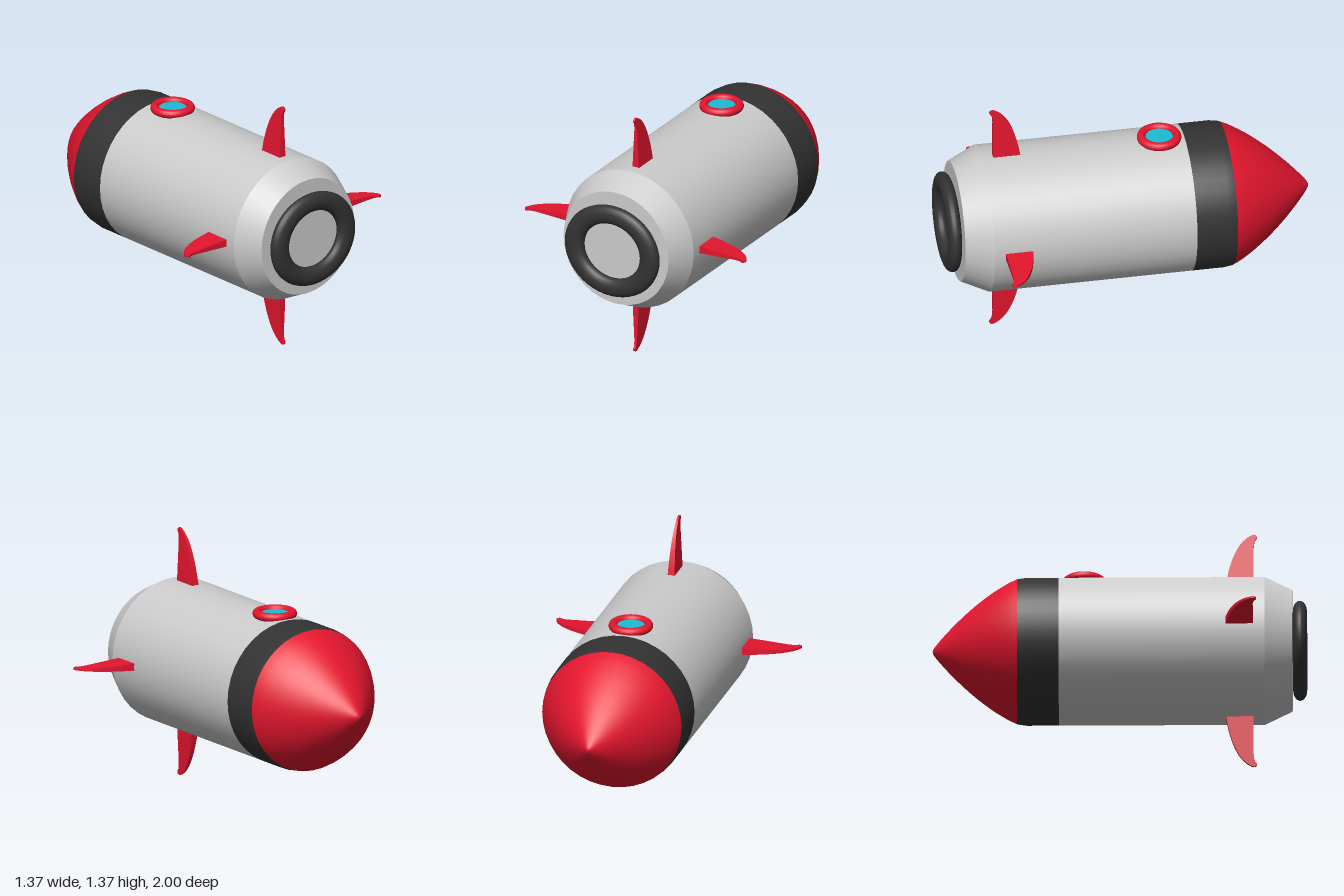
import * as THREE from 'three';

const AXIS_Y = 0.683, R = 0.395;
const mat = (color, extra = {}) => new THREE.MeshStandardMaterial({ color, ...extra });

// Surface of revolution about the z axis; points are [radius, z] with z rising
function turned(points, segments = 40) {
  const g = new THREE.LatheGeometry(points.map(([r, z]) => new THREE.Vector2(r, z)), segments);
  return g.rotateX(Math.PI / 2);
}

// Curved blade that thins from root to tip
function finGeometry() {
  const s = new THREE.Shape();
  s.moveTo(0.568, 0.37);
  s.lineTo(0.568, 0.395);
  s.bezierCurveTo(0.585, 0.5, 0.62, 0.64, 0.705, 0.68);
  s.bezierCurveTo(0.725, 0.69, 0.738, 0.672, 0.732, 0.663);
  s.quadraticCurveTo(0.715, 0.65, 0.715, 0.6);
  s.lineTo(0.715, 0.37);
  s.closePath();
  const g = new THREE.ExtrudeGeometry(s, { depth: 1, bevelEnabled: false, curveSegments: 10 });
  g.translate(0, 0, -0.5).rotateY(-Math.PI / 2);
  const p = g.attributes.position;
  for (let i = 0; i < p.count; i++) {
    const t = (p.getY(i) - 0.37) / 0.313;
    p.setX(i, p.getX(i) * THREE.MathUtils.lerp(0.042, 0.01, t));
  }
  g.computeVertexNormals();
  return g;
}

export function createModel() {
  const model = new THREE.Group();
  const rocket = new THREE.Group();
  rocket.name = 'rocket';
  rocket.position.y = AXIS_Y;
  model.add(rocket);

  const red = mat(0xe3152e), dark = mat(0x333333), grey = mat(0xcccccc), cyan = mat(0x1cbcd6);
  const add = (name, geometry, material) => {
    const m = new THREE.Mesh(geometry, material);
    m.name = name;
    rocket.add(m);
    return m;
  };

  // Hull
  add('body', turned([[R, -0.325], [R, 0.775]]), grey);
  add('tailTaper', turned([[R, 0.775], [0.325, 0.922]]), grey);
  add('tailCap', turned([[0.325, 0.922], [0, 0.922]]), grey);
  add('band', turned([[0.388, -0.547], [R, -0.5], [R, -0.325]]), dark);

  // Pointed nose with a curved profile
  const nose = new THREE.SplineCurve([
    [0, -1], [0.03, -0.985], [0.12, -0.905], [0.22, -0.8], [0.303, -0.695], [0.36, -0.605], [0.388, -0.547],
  ].map(([r, z]) => new THREE.Vector2(r, z)));
  add('noseCone', turned(nose.getPoints(24).map((v) => [Math.max(v.x, 0), v.y])), red);

  // Slightly flattened engine ring
  const ring = add('engineRing', new THREE.TorusGeometry(0.2325, 0.0575, 20, 48), dark);
  ring.scale.set(1, 0.905, 0.65);
  ring.position.z = 0.9625;

  // Four fins around the tail
  const fin = finGeometry();
  ['topFin', 'leftFin', 'bottomFin', 'rightFin'].forEach((name, i) => {
    add(name, fin, red).rotation.z = -i * Math.PI / 2;
  });

  // Porthole on top
  const frame = add('portholeFrame', new THREE.TorusGeometry(0.096, 0.0235, 16, 40).rotateX(Math.PI / 2), red);
  frame.position.set(0, 0.403, -0.19);
  const glass = add('portholeGlass', new THREE.CylinderGeometry(0.09, 0.09, 0.03, 40), cyan);
  glass.position.set(0, 0.392, -0.19);

  return model;
}
